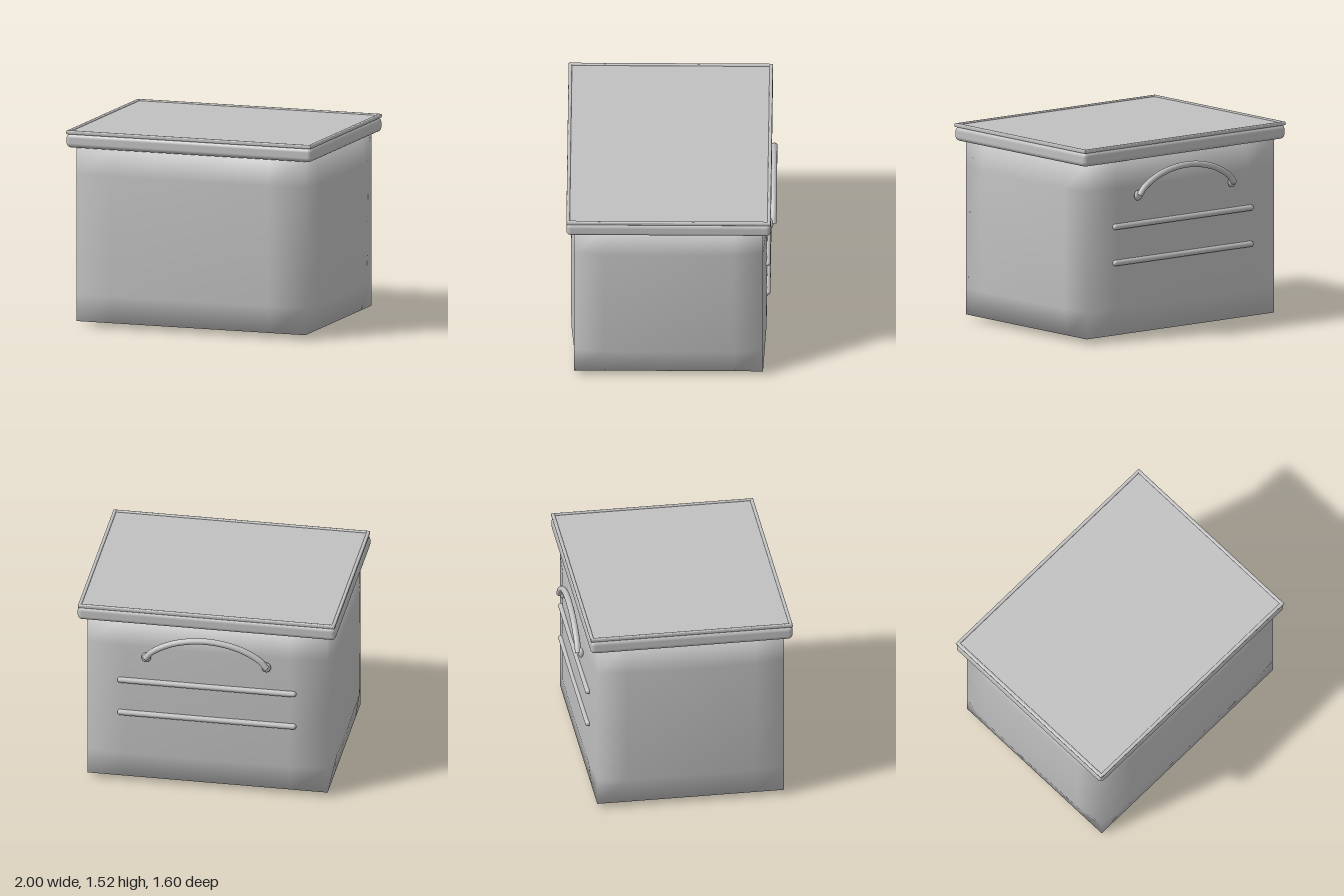
import * as THREE from 'three';
import { mergeVertices } from 'three/addons/utils/BufferGeometryUtils.js';
import { RoundedBoxGeometry } from 'three/addons/geometries/RoundedBoxGeometry.js';

const grey = new THREE.MeshStandardMaterial({ color: 0xc0c0c0 });
grey.name = 'plain grey';

const CZ = 0.02; // body and lid centre in z

function part(name, geometry, x = 0, y = 0, z = 0) {
  const mesh = new THREE.Mesh(geometry, grey);
  mesh.name = name;
  mesh.position.set(x, y, z);
  return mesh;
}

// Coarse box with swollen faces and normals shared across its edges
function bodyGeometry() {
  const half = [0.93, 0.675, 0.72];
  const bulge = [0.045, 0.04, 0.033];
  let geo = new THREE.BoxGeometry(2, 2, 2, 4, 4, 4);
  geo.deleteAttribute('uv');
  geo.deleteAttribute('normal');
  geo = mergeVertices(geo);
  const pos = geo.attributes.position;
  const swell = (u) => (Math.abs(u) > 0.9 ? 0 : Math.abs(u) > 0.1 ? 0.85 : 1);
  const grid = (u) => (Math.abs(Math.abs(u) - 0.5) < 0.01 ? Math.sign(u) * 0.69 : u);
  for (let i = 0; i < pos.count; i++) {
    const u = [pos.getX(i), pos.getY(i), pos.getZ(i)];
    const p = u.map((c, a) => {
      const onFace = Math.abs(c) > 0.9;
      const push = onFace ? bulge[a] * swell(u[(a + 1) % 3]) * swell(u[(a + 2) % 3]) : 0;
      return grid(c) * half[a] + Math.sign(c) * push;
    });
    pos.setXYZ(i, ...p);
  }
  geo.computeVertexNormals();
  return geo;
}

function rectangle(PathType, w, d) {
  const path = new PathType();
  path.moveTo(-w, -d);
  path.lineTo(w, -d);
  path.lineTo(w, d);
  path.lineTo(-w, d);
  path.closePath();
  return path;
}

// Raised bead around the top of the lid
function rimGeometry() {
  const shape = rectangle(THREE.Shape, 0.985, 0.77);
  shape.holes.push(rectangle(THREE.Path, 0.977, 0.762));
  const geo = new THREE.ExtrudeGeometry(shape, {
    depth: 0.012, bevelThickness: 0.009, bevelSize: 0.009, bevelSegments: 3,
  });
  return geo.rotateX(-Math.PI / 2);
}

export function createModel() {
  const model = new THREE.Group();
  model.name = 'storageBox';
  model.add(part('body', bodyGeometry(), 0, 0.715, CZ));

  // Lid
  const lid = new THREE.Group();
  lid.name = 'lid';
  lid.add(
    part('lidBand', new RoundedBoxGeometry(2, 0.11, 1.56, 5, 0.035), 0, 1.44, CZ),
    part('lidPanel', new THREE.BoxGeometry(1.96, 0.02, 1.53), 0, 1.498, CZ),
    part('lidRim', rimGeometry(), 0, 1.498, CZ),
  );
  model.add(lid);

  // Arched handle with two knobs
  const handle = new THREE.Group();
  handle.name = 'handle';
  const points = [
    [-0.47, 1.11], [-0.42, 1.17], [-0.25, 1.26], [0, 1.3],
    [0.25, 1.26], [0.42, 1.17], [0.47, 1.11],
  ].map(([x, y]) => new THREE.Vector3(x, y, -0.776));
  const arc = new THREE.CatmullRomCurve3(points);
  handle.add(part('handleArc', new THREE.TubeGeometry(arc, 32, 0.024, 12)));
  for (const side of [-1, 1]) {
    const knob = part('handleKnob', new THREE.SphereGeometry(0.04, 16, 12), side * 0.465, 1.11, -0.755);
    knob.scale.set(0.9, 1, 0.52);
    handle.add(knob);
  }
  model.add(handle);

  // Two raised ribs on the back
  for (const y of [0.605, 0.885]) {
    const rib = part('backRib', new THREE.CapsuleGeometry(0.023, 1.34, 6, 12), 0, y, -0.732);
    rib.rotation.z = Math.PI / 2;
    model.add(rib);
  }
  return model;
}
